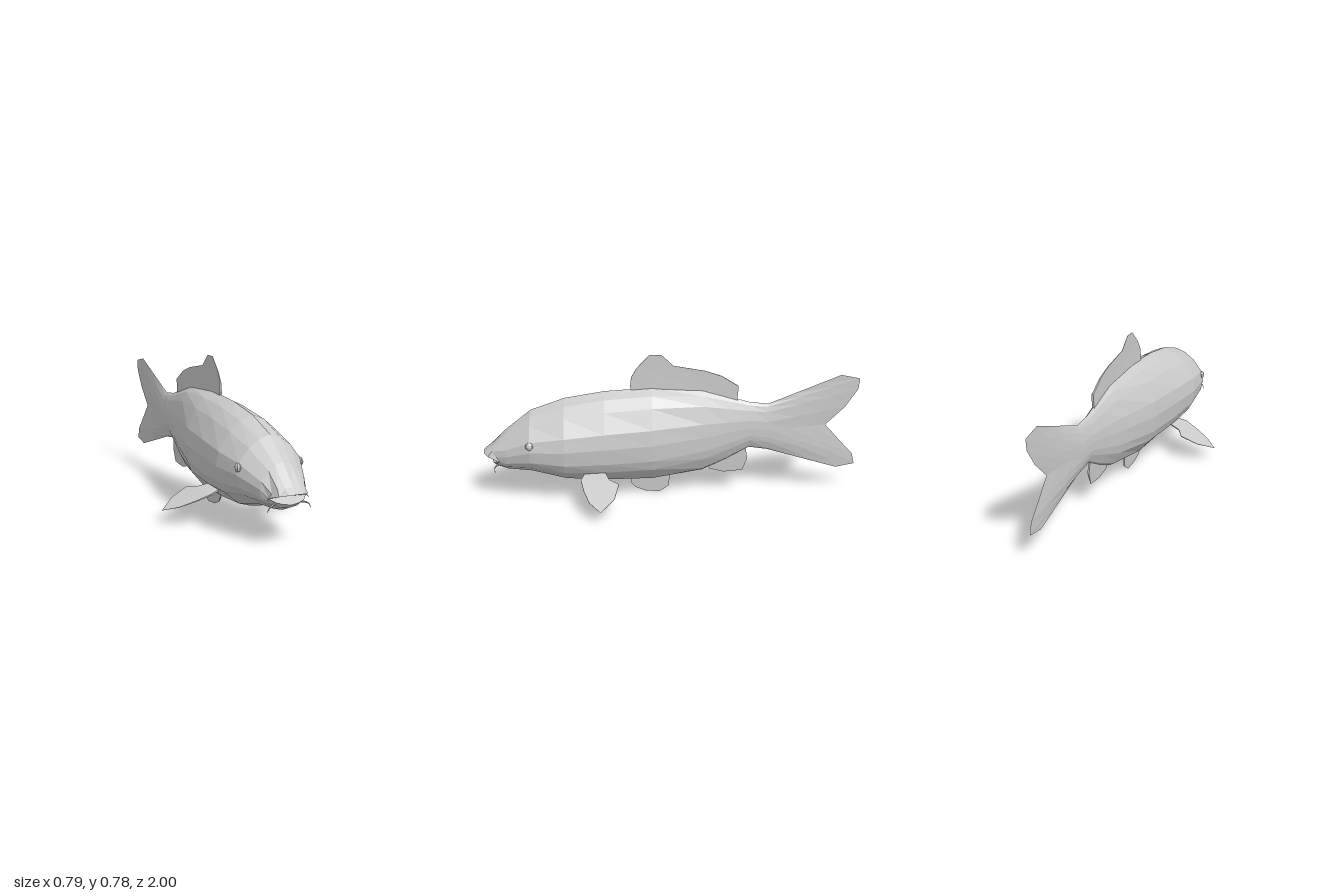
import * as THREE from 'three';

const material = new THREE.MeshStandardMaterial({ color: 0xcccccc, flatShading: true, side: THREE.DoubleSide });

function part(name, geometry) {
  const mesh = new THREE.Mesh(geometry, material);
  mesh.name = name;
  return mesh;
}

// Half cross-section from back ridge to belly: [share of width, share of height]
const PROFILE = [[0, 1], [0.34, 0.88], [0.63, 0.67], [0.94, 0.27], [1, -0.05], [0.94, -0.4], [0.79, -0.62], [0.34, -0.92], [0, -1]];

const section = ([z, top, bottom, halfWidth]) =>
  PROFILE.map(([u, v]) => [u * halfWidth, (top + bottom) / 2 + v * (top - bottom) / 2, z]);

const blend = (a, b, t) => a.map((p, i) => p.map((c, j) => c + (b[i][j] - c) * t));

// Mirrors half rings into full rings and skins them from nose to tail
function loft(halfRings) {
  const rings = halfRings.map((h) => [...h, ...h.slice(1, -1).reverse().map(([x, y, z]) => [-x, y, z])]);
  const n = rings[0].length, index = [];
  for (let i = 0; i < rings.length - 1; i++) {
    for (let k = 0; k < n; k++) {
      const a = i * n + k, b = i * n + (k + 1) % n;
      index.push(a, b, b + n, a, b + n, a + n);
    }
  }
  const g = new THREE.BufferGeometry();
  g.setAttribute('position', new THREE.Float32BufferAttribute(rings.flat(2), 3));
  g.setIndex(index);
  g.computeVertexNormals();
  return g;
}

function bodyGeometry() {
  // Mouth: recessed inside, protruding lips, and the fold behind them
  const lips = [[0, 0.262, 1], [0.04, 0.26, 0.995], [0.075, 0.252, 0.97], [0.092, 0.24, 0.93], [0.096, 0.233, 0.915],
    [0.09, 0.229, 0.92], [0.07, 0.218, 0.942], [0.04, 0.21, 0.952], [0, 0.205, 0.956]];
  const fold = [[0, 0.287, 0.965], [0.04, 0.286, 0.962], [0.07, 0.281, 0.948], [0.086, 0.255, 0.925], [0.093, 0.235, 0.908],
    [0.09, 0.222, 0.905], [0.072, 0.203, 0.915], [0.04, 0.191, 0.93], [0, 0.187, 0.935]];
  const throat = lips.map(() => [0, 0.232, 0.9]);

  // Trunk sections: z, top, bottom, half width
  const trunk = [
    [0.87, 0.385, 0.16, 0.118], [0.74, 0.488, 0.15, 0.172], [0.56, 0.552, 0.1, 0.19], [0.35, 0.587, 0.084, 0.175],
    [0.1, 0.603, 0.083, 0.147], [-0.17, 0.587, 0.128, 0.083], [-0.3, 0.55, 0.19, 0.055], [-0.42, 0.515, 0.257, 0.037],
    [-0.52, 0.505, 0.243, 0.027],
  ].map(section);

  // Forked tail edge, from upper lobe through notch to lower lobe
  const edge = [[0.66, -0.9], [0.64, -1], [0.58, -0.995], [0.48, -0.93], [0.38, -0.83],
    [0.28, -0.92], [0.21, -0.985], [0.15, -1], [0.13, -0.9]].map(([y, z]) => [0, y, z]);
  const root = trunk[trunk.length - 1];

  return loft([throat, blend(lips, throat, 0.3), lips, fold, ...trunk, blend(root, edge, 0.35), blend(root, edge, 0.7), edge]);
}

const flatShape = (points) => new THREE.Shape(points.map((p) => new THREE.Vector2(...p)));

// Upright fin from a (z, y) outline, tapering from its base to a thin edge
function uprightFin(name, outline, baseY, tipY) {
  const g = new THREE.ExtrudeGeometry(flatShape(outline), { depth: 0.012, bevelEnabled: false });
  g.translate(0, 0, -0.006).rotateY(-Math.PI / 2);
  const p = g.attributes.position;
  for (let i = 0; i < p.count; i++) {
    const t = THREE.MathUtils.clamp((p.getY(i) - baseY) / (tipY - baseY), 0, 1);
    p.setX(i, p.getX(i) * (1 - 0.92 * t));
  }
  g.computeVertexNormals();
  return part(name, g);
}

// Side fin from an (x, z) outline, sloping down and outward with a raised rear edge
function pectoralFin() {
  const outline = [[0.13, 0.46], [0.178, 0.478], [0.25, 0.46], [0.325, 0.43], [0.393, 0.37], [0.315, 0.3],
    [0.225, 0.278], [0.19, 0.33], [0.13, 0.35]];
  const g = new THREE.ExtrudeGeometry(flatShape(outline), { depth: 0.01, bevelEnabled: false });
  const p = g.attributes.position;
  for (let i = 0; i < p.count; i++) {
    const x = p.getX(i), z = p.getY(i), t = THREE.MathUtils.clamp((x - 0.15) / 0.243, 0, 1);
    const y = 0.178 - 0.106 * t - (p.getZ(i) / 0.01) * 0.008 * (1 - t) + (0.37 - z) * 0.08;
    p.setXYZ(i, x, y, z);
  }
  g.computeVertexNormals();
  return part('pectoralFin', g);
}

// Whisker: thin tube narrowing towards its tip
function barbel(points, radius) {
  const curve = new THREE.CatmullRomCurve3(points.map((p) => new THREE.Vector3(...p)));
  const steps = 5, sides = 5;
  const g = new THREE.TubeGeometry(curve, steps, radius, sides);
  const p = g.attributes.position, v = new THREE.Vector3();
  for (let i = 0; i < p.count; i++) {
    const t = Math.floor(i / (sides + 1)) / steps, c = curve.getPointAt(t);
    v.fromBufferAttribute(p, i).sub(c).multiplyScalar(1 - 0.85 * t).add(c);
    p.setXYZ(i, v.x, v.y, v.z);
  }
  return part('barbel', g);
}

// Paired parts for one side
function sideParts(sign) {
  const side = new THREE.Group();
  side.name = sign > 0 ? 'leftSide' : 'rightSide';
  const eye = part('eye', new THREE.SphereGeometry(0.022, 8, 6));
  eye.scale.set(0.75, 1, 1);
  eye.position.set(0.162, 0.345, 0.738);
  side.add(
    eye,
    pectoralFin(),
    barbel([[0.068, 0.205, 0.915], [0.085, 0.203, 0.928], [0.102, 0.195, 0.934], [0.112, 0.174, 0.93]], 0.006),
    barbel([[0.085, 0.235, 0.91], [0.1, 0.232, 0.917], [0.108, 0.222, 0.92]], 0.004),
  );
  side.scale.x = sign;
  return side;
}

export function createModel() {
  const fish = new THREE.Group();
  fish.name = 'fish';
  fish.add(part('body', bodyGeometry()));
  fish.add(uprightFin('dorsalFin', [[0.2, 0.56], [0.213, 0.61], [0.208, 0.66], [0.18, 0.71], [0.11, 0.783], [0.05, 0.783],
    [-0.015, 0.722], [-0.18, 0.692], [-0.27, 0.662], [-0.358, 0.605], [-0.35, 0.5], [-0.17, 0.55]], 0.58, 0.74));
  fish.add(uprightFin('pelvicFin', [[0.215, 0.12], [0.217, 0.06], [0.195, 0.03], [0.14, 0.006], [0.06, 0], [0.01, 0.038],
    [0.005, 0.13]], 0.09, 0.01));
  fish.add(uprightFin('analFin', [[-0.19, 0.17], [-0.21, 0.132], [-0.29, 0.112], [-0.39, 0.122], [-0.415, 0.19],
    [-0.4, 0.28], [-0.3, 0.23]], 0.23, 0.11));
  fish.add(sideParts(1), sideParts(-1));
  return fish;
}
